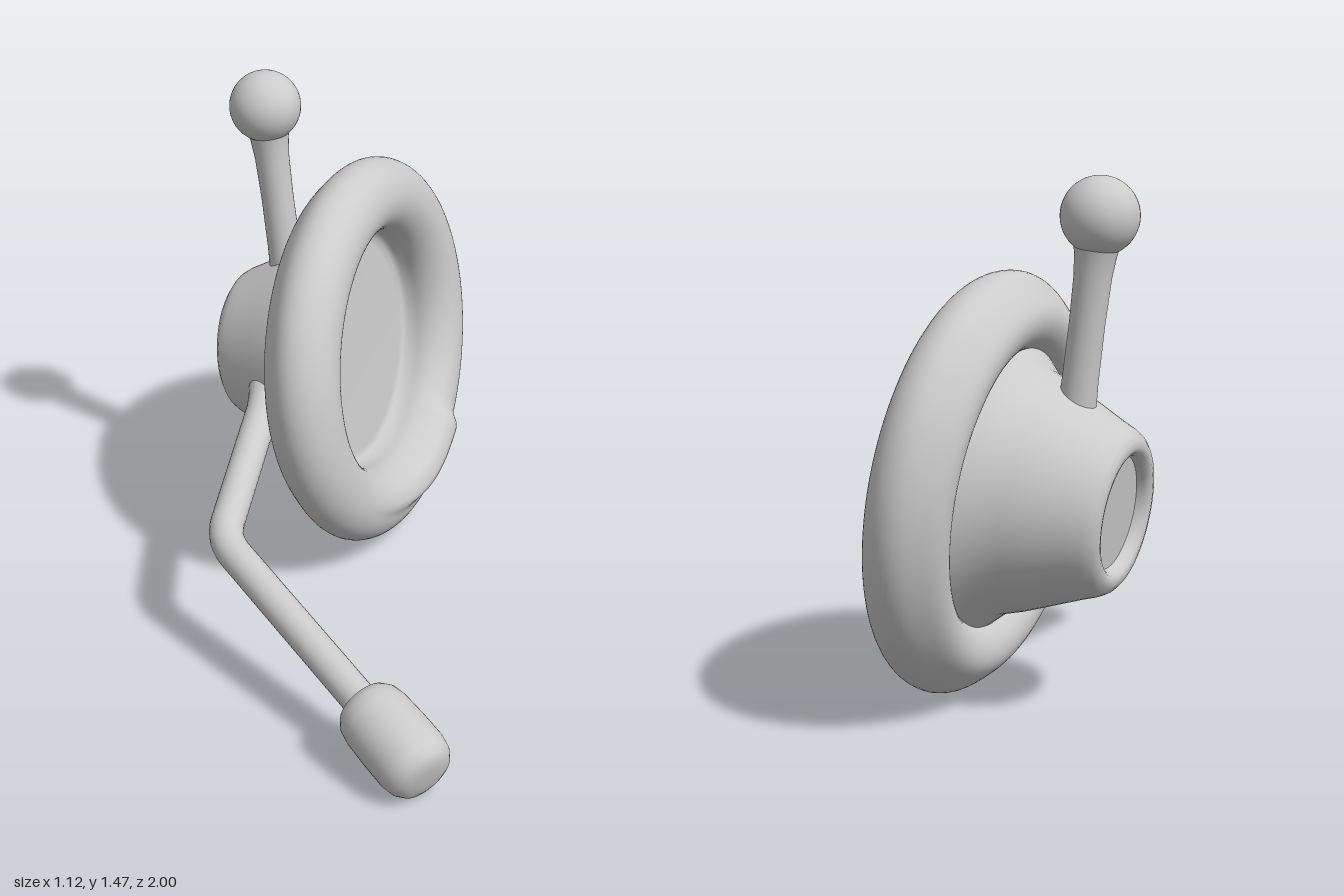
import * as THREE from 'three';
import { mergeVertices } from 'three/addons/utils/BufferGeometryUtils.js';

const material = new THREE.MeshStandardMaterial({ color: 0xcccccc });
const V2 = (x, y) => new THREE.Vector2(x, y);
const V3 = (x, y, z) => new THREE.Vector3(x, y, z);
const UP = V3(0, 1, 0);
const smoothstep = THREE.MathUtils.smoothstep;

function part(name, geometry) {
  const mesh = new THREE.Mesh(geometry, material);
  mesh.name = name;
  return mesh;
}

// Lathe from [radius, height] pairs
function lathe(name, pairs, segments = 64) {
  return part(name, new THREE.LatheGeometry(pairs.map(([r, y]) => V2(r, y)), segments));
}

// Stand a lathed part at a point with its axis along a direction
function aim(mesh, position, direction) {
  mesh.position.copy(position);
  mesh.quaternion.setFromUnitVectors(UP, direction.clone().normalize());
  return mesh;
}

// Padded ring and its floor; the inner half of the pad swells along its lower arc (+z)
function cushionGeometry() {
  const points = [];
  for (let i = 0; i <= 52; i++) {
    const t = (i / 52 * 1.97 - 0.97) * Math.PI;
    const c = Math.cos(t), s = Math.sin(t);
    // The outer rear quarter is slightly flattened
    const k = c > 0 && s < 0 ? 1 - 0.1 * Math.sin(2 * t) ** 2 : 1;
    points.push(V2(0.476 + (c > 0 ? 0.119 : 0.108) * c * k, (s > 0 ? 0.104 : 0.125) * s * k));
  }
  points.push(V2(0.366, -0.03), V2(0.355, -0.045), V2(0.33, -0.05), V2(0, -0.05));
  let geometry = new THREE.LatheGeometry(points, 128, Math.PI);
  const p = geometry.attributes.position;
  for (let i = 0; i < p.count; i++) {
    const x = p.getX(i), y = p.getY(i), z = p.getZ(i);
    const r = Math.hypot(x, z), angle = Math.atan2(x, z);
    const arc = smoothstep(angle, -0.85, 0.3) * (1 - smoothstep(angle, 0.6, 0.75));
    const inner = smoothstep(r, 0.35, 0.43) * (1 - smoothstep(r, 0.485, 0.515));
    if (y > 0) p.setY(i, y + 0.032 * arc * inner);
  }
  geometry.deleteAttribute('uv');
  geometry.deleteAttribute('normal');
  geometry = mergeVertices(geometry, 1e-4);
  geometry.computeVertexNormals();
  return geometry;
}

function createEarCup() {
  const cup = new THREE.Group();
  cup.name = 'earCup';
  cup.add(part('cushion', cushionGeometry()));
  // Tapered shell with rounded rim, running into the ring
  cup.add(lathe('shell', [
    [0.158, -0.398], [0.162, -0.418], [0.172, -0.431], [0.187, -0.435], [0.205, -0.431],
    [0.222, -0.418], [0.236, -0.395], [0.25, -0.36], [0.285, -0.28], [0.32, -0.20], [0.345, -0.13], [0.42, -0.05],
  ]));
  // Sunken cap at the back of the shell
  cup.add(lathe('backCap', [[0, -0.398], [0.16, -0.398]]));

  // Local y faces the ear, local z points down the ring
  const axis = V3(1, 0.128, 0.068).normalize();
  const down = V3(0, -1, 0).addScaledVector(axis, axis.y).normalize();
  const side = new THREE.Vector3().crossVectors(axis, down);
  cup.quaternion.setFromRotationMatrix(new THREE.Matrix4().makeBasis(side, axis, down));
  cup.position.set(-0.106, 0.618, -0.405);
  return cup;
}

function createHeadbandPost() {
  const post = new THREE.Group();
  post.name = 'headbandPost';
  const base = V3(-0.381, 0.78, -0.425), top = V3(-0.453, 1.37, -0.43);
  const dir = top.clone().sub(base);
  // Stem widens slightly under the ball
  post.add(aim(lathe('postStem', [
    [0.056, 0], [0.05, 0.14], [0.049, 0.3], [0.052, 0.43], [0.058, 0.49], [0.066, 0.53],
  ], 32), base, dir));
  const ball = part('postBall', new THREE.SphereGeometry(0.108, 40, 24));
  ball.position.copy(top);
  post.add(ball);
  return post;
}

function createMicrophone() {
  const mic = new THREE.Group();
  mic.name = 'microphone';
  const start = V3(-0.358, 0.575, -0.22), elbow = V3(-0.278, 0.37, 0.41), tip = V3(0.40, 0.135, 0.855);
  const toStart = start.clone().sub(elbow).normalize();
  const toTip = tip.clone().sub(elbow).normalize();
  const bendIn = elbow.clone().addScaledVector(toStart, 0.07);
  const bendOut = elbow.clone().addScaledVector(toTip, 0.07);

  // Boom: straight arm, short bend, straight arm
  const path = new THREE.CurvePath();
  path.add(new THREE.LineCurve3(start, bendIn));
  path.add(new THREE.QuadraticBezierCurve3(bendIn, elbow, bendOut));
  path.add(new THREE.LineCurve3(bendOut, tip));
  mic.add(part('boom', new THREE.TubeGeometry(path, 90, 0.05, 24)));

  // Slight collar where the boom leaves the shell
  mic.add(aim(lathe('boomCollar', [
    [0.072, 0.02], [0.062, 0.07], [0.054, 0.11], [0.049, 0.16],
  ], 32), start, toStart.clone().negate()));

  // Capsule with rounded ends
  mic.add(aim(lathe('capsule', [
    [0, -0.158], [0.055, -0.155], [0.08, -0.142], [0.097, -0.117], [0.104, -0.08], [0.107, 0],
    [0.107, 0.08], [0.1, 0.115], [0.084, 0.138], [0.06, 0.149], [0.03, 0.152], [0, 0.152],
  ], 40), tip, toTip));
  return mic;
}

export function createModel() {
  const model = new THREE.Group();
  model.name = 'headsetSide';
  model.add(createEarCup(), createHeadbandPost(), createMicrophone());
  return model;
}
